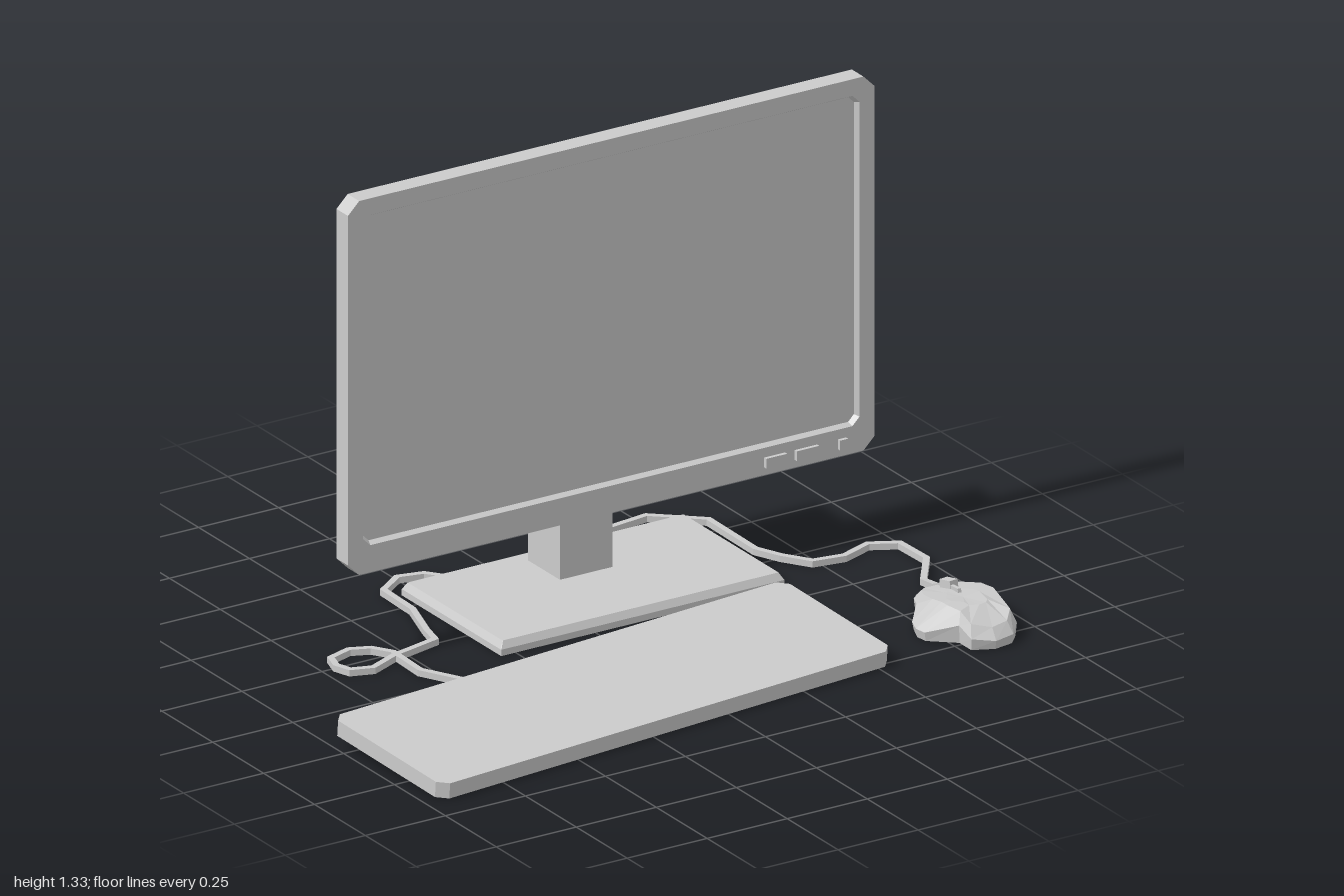
import * as THREE from 'three';

const grey = new THREE.MeshStandardMaterial({ color: 0xcccccc, flatShading: true, side: THREE.DoubleSide });

function mesh(name, geometry, parent) {
  const m = new THREE.Mesh(geometry, grey);
  m.name = name;
  parent.add(m);
  return m;
}

// Box given by its limits on each axis
function box(name, [x0, x1], [y0, y1], [z0, z1], parent) {
  const m = mesh(name, new THREE.BoxGeometry(x1 - x0, y1 - y0, z1 - z0), parent);
  m.position.set((x0 + x1) / 2, (y0 + y1) / 2, (z0 + z1) / 2);
  return m;
}

// Joins equal-length rings with flat quads and closes both ends with fans
function loft(rings) {
  const pos = [];
  const tri = (a, b, c) => pos.push(...a.toArray(), ...b.toArray(), ...c.toArray());
  const n = rings[0].length;
  for (let k = 0; k < rings.length - 1; k++) {
    for (let i = 0; i < n; i++) {
      const j = (i + 1) % n;
      tri(rings[k][i], rings[k][j], rings[k + 1][j]);
      tri(rings[k][i], rings[k + 1][j], rings[k + 1][i]);
    }
  }
  const cap = (ring, flip) => {
    const c = ring.reduce((s, p) => s.add(p), new THREE.Vector3()).divideScalar(n);
    for (let i = 0; i < n; i++) {
      const a = ring[i], b = ring[(i + 1) % n];
      flip ? tri(c, b, a) : tri(c, a, b);
    }
  };
  cap(rings[0], true);
  cap(rings[rings.length - 1], false);
  const g = new THREE.BufferGeometry();
  g.setAttribute('position', new THREE.Float32BufferAttribute(pos, 3));
  g.computeVertexNormals();
  return g;
}

// Rectangle with cut corners in the xy plane at depth z
function cutRect(w, h, c, z) {
  const x = w / 2, y = h / 2;
  return [[-x + c, -y], [x - c, -y], [x, -y + c], [x, y - c], [x - c, y], [-x + c, y], [-x, y - c], [-x, -y + c]]
    .map(([a, b]) => new THREE.Vector3(a, b, z));
}

// Square-section cord along [x, z, y] points with mitred corners
function cord(points, r = 0.009) {
  const p = points.map(([x, z, y = r]) => new THREE.Vector3(x, y, z));
  const dir = (a, b) => new THREE.Vector3(b.x - a.x, 0, b.z - a.z).normalize();
  return loft(p.map((q, i) => {
    const d0 = dir(p[Math.max(i - 1, 0)], p[Math.max(i, 1)]);
    const d1 = dir(p[Math.min(i, p.length - 2)], p[Math.min(i + 1, p.length - 1)]);
    const t = d0.clone().add(d1).normalize();
    const w = r / Math.max(t.dot(d1), 0.5);
    return [[-1, -1], [1, -1], [1, 1], [-1, 1]].map(([s, u]) =>
      new THREE.Vector3(q.x + t.z * w * s, q.y + r * u, q.z - t.x * w * s));
  }));
}

function buildMonitor(parent) {
  const monitor = new THREE.Group();
  monitor.name = 'monitor';
  parent.add(monitor);

  // Casing with the screen sunk into its front
  const casing = mesh('screenCasing', loft([
    cutRect(1.645, 1.07, 0.035, -0.297),
    cutRect(1.645, 1.07, 0.035, -0.24),
  ].concat([
    cutRect(1.55, 0.945, 0.022, -0.24),
    cutRect(1.534, 0.929, 0.018, -0.255),
  ].map(ring => ring.map(v => v.setY(v.y + 0.015))))), monitor);
  casing.position.set(0.1475, 0.79, 0);

  // Control buttons
  [[0.625, 0.69], [0.72, 0.79], [0.855, 0.88]].forEach((x, i) =>
    box('button' + (i + 1), x, [0.277, 0.305], [-0.245, -0.229], monitor));

  // Rear mount, column and bevelled foot plate
  box('rearHousing', [-0.212, 0.507], [0.545, 1.035], [-0.385, -0.295], monitor);
  box('standColumn', [0.065, 0.23], [0.03, 0.877], [-0.52, -0.363], monitor);
  const base = mesh('standBase', loft([
    cutRect(0.885, 0.49, 0.001, 0),
    cutRect(0.885, 0.49, 0.001, 0.018),
    cutRect(0.862, 0.467, 0.001, 0.038),
  ]).rotateX(-Math.PI / 2), monitor);
  base.position.set(0.1475, 0, -0.33);
}

function buildKeyboard(parent) {
  const keyboard = new THREE.Group();
  keyboard.name = 'keyboard';
  keyboard.rotation.set(0.085, 0.0955, 0, 'YXZ');
  keyboard.position.set(-0.227, 0.043, 0.355);
  parent.add(keyboard);
  mesh('keyboardSlab', loft([
    cutRect(1.51, 0.475, 0.027, -0.0225),
    cutRect(1.51, 0.475, 0.027, 0.0225),
  ]).rotateX(-Math.PI / 2), keyboard);
  // Rear feet
  for (const s of [-1, 1]) {
    const foot = box('keyboardFoot', [s * 0.7 - 0.016, s * 0.7 + 0.016], [-0.05, -0.015], [-0.2, -0.178], keyboard);
    foot.rotation.x = 0.25;
  }
}

function buildMouse(parent) {
  const mouse = new THREE.Group();
  mouse.name = 'mouse';
  parent.add(mouse);

  const outline = [[0.82, 0.203], [0.92, 0.21], [0.965, 0.3], [0.96, 0.38], [0.925, 0.53], [0.89, 0.568], [0.83, 0.578],
    [0.77, 0.55], [0.77, 0.49], [0.70, 0.43], [0.695, 0.395], [0.715, 0.345], [0.77, 0.28], [0.79, 0.235]].reverse();
  // Height of the back along z
  const profile = [[0.2, 0.045], [0.25, 0.06], [0.4, 0.085], [0.49, 0.085], [0.58, 0.04]];
  const height = z => {
    const i = Math.max(1, profile.findIndex(p => p[0] >= z));
    const [a, b] = [profile[i - 1], profile[i]];
    return THREE.MathUtils.mapLinear(z, a[0], b[0], a[1], b[1]);
  };
  // Rings shrink towards the middle; the thumb side is tucked in
  const ring = (scale, lift, minX = 0) => outline.map(([x, z]) => {
    const px = Math.max(0.86 + (x - 0.86) * scale, minX);
    const pz = 0.39 + (z - 0.39) * scale;
    const thumb = minX === 0 && x < 0.75 ? 0.5 : 1;
    return new THREE.Vector3(px, -pz, height(pz) * lift * thumb);
  });
  mesh('mouseBody', loft([ring(0.97, 0), ring(1, 0.6), ring(0.86, 1, 0.775), ring(0.4, 1, 0.8)])
    .rotateX(-Math.PI / 2), mouse);

  // Scroll wheel and the slot behind it
  const wheel = box('scrollWheel', [0.858, 0.886], [0.062, 0.086], [0.258, 0.3], mouse);
  wheel.rotation.set(-0.16, 0.15, 0);
  const slot = box('wheelSlot', [0.86, 0.87], [0.066, 0.082], [0.295, 0.35], mouse);
  slot.rotation.set(-0.16, -0.15, 0);
}

export function createModel() {
  const model = new THREE.Group();
  model.name = 'desktopSet';
  buildMonitor(model);
  buildKeyboard(model);
  buildMouse(model);

  // Cords as [x, z, height]
  mesh('mouseCord', cord([[0.872, 0.26, 0.062], [0.88, 0.2, 0.035], [0.9, 0.11, 0.012], [0.989, -0.015], [0.985, -0.14],
    [0.91, -0.18], [0.815, -0.145], [0.725, -0.16], [0.675, -0.235], [0.642, -0.31], [0.645, -0.545],
    [0.52, -0.655], [0.29, -0.625], [0.235, -0.56]]), model);
  mesh('keyboardCord', cord([[-0.32, 0.14, 0.055], [-0.36, 0.12, 0.035], [-0.48, 0.045, 0.012], [-0.545, -0.09], [-0.54, -0.23],
    [-0.575, -0.285], [-0.63, -0.308], [-0.7, -0.285], [-0.715, -0.235], [-0.7, -0.19], [-0.64, -0.17],
    [-0.55, -0.21], [-0.4, -0.245], [-0.385, -0.31], [-0.34, -0.45], [-0.335, -0.6], [-0.258, -0.655],
    [-0.185, -0.638], [-0.125, -0.56]]), model);
  return model;
}
